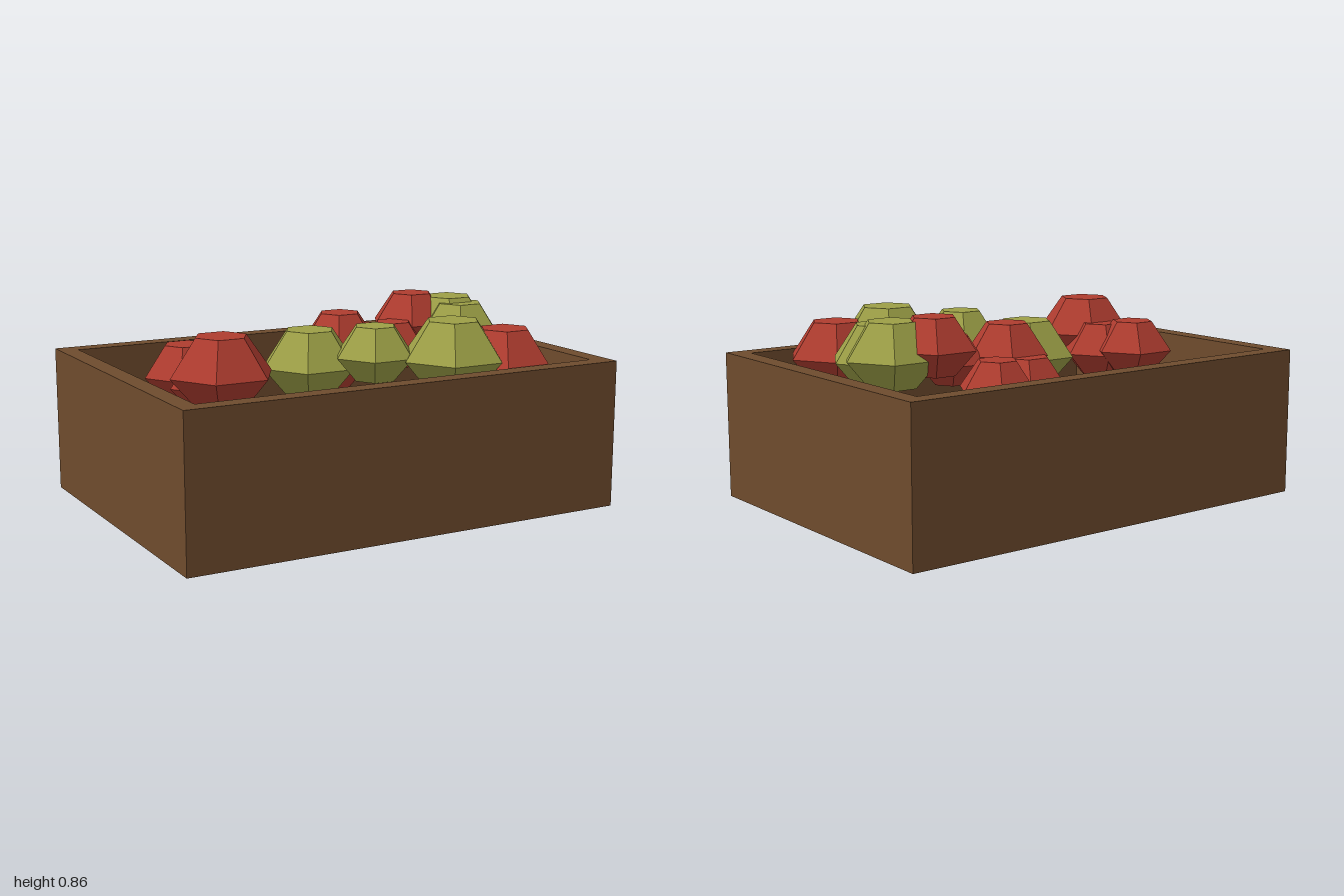
import * as THREE from 'three';

const wood = new THREE.MeshStandardMaterial({ color: 0x6e4b2d });
wood.name = 'brown wood';
const red = new THREE.MeshStandardMaterial({ color: 0xae3c2f });
red.name = 'red fruit skin';
const green = new THREE.MeshStandardMaterial({ color: 0x9c9f46 });
green.name = 'green fruit skin';

const W = 2, H = 0.64, D = 1.436, WALL = 0.08, FLOOR = 0.07;

// Six-sided fruit of radius 1: flat top, wide middle, tapering underside
function fruitGeometry() {
  const profile = [[0, -0.57], [0.5, -0.57], [1, 0], [0.5, 0.7], [0, 0.7]]
    .map(([r, y]) => new THREE.Vector2(r, y));
  const geo = new THREE.LatheGeometry(profile, 6, Math.PI / 6).toNonIndexed();
  geo.computeVertexNormals();
  return geo;
}

// Rectangle corners centred on the origin
function rect(w, d) {
  return [[-1, -1], [1, -1], [1, 1], [-1, 1]]
    .map(([x, y]) => new THREE.Vector2(x * w / 2, y * d / 2));
}

function createCrate() {
  const crate = new THREE.Group();
  crate.name = 'crate';

  // Four walls as one open frame
  const plan = new THREE.Shape(rect(W, D));
  plan.holes.push(new THREE.Path(rect(W - 2 * WALL, D - 2 * WALL)));
  const walls = new THREE.Mesh(
    new THREE.ExtrudeGeometry(plan, { depth: H, bevelEnabled: false }).rotateX(-Math.PI / 2), wood);
  walls.name = 'crateWalls';

  const floor = new THREE.Mesh(new THREE.BoxGeometry(W - 2 * WALL, FLOOR, D - 2 * WALL), wood);
  floor.position.y = FLOOR / 2;
  floor.name = 'crateFloor';

  crate.add(walls, floor);
  return crate;
}

// Each fruit: x, z, radius, height of its flat top
const redFruit = [
  [-0.645, -0.08, 0.185, 0.73],
  [-0.59, 0.07, 0.19, 0.71],
  [-0.625, 0.235, 0.225, 0.81],
  [0.15, -0.3, 0.2, 0.67],
  [0.37, -0.4, 0.165, 0.69],
  [0.135, -0.155, 0.185, 0.795],
  [0.36, -0.065, 0.16, 0.75],
  [0.525, -0.18, 0.188, 0.855],
  [0.605, 0.45, 0.217, 0.775],
];
const greenFruit = [
  [-0.115, 0.03, 0.22, 0.765],
  [0.075, 0.26, 0.182, 0.8],
  [0.36, 0.42, 0.232, 0.825],
  [0.675, -0.1, 0.213, 0.84],
  [0.68, -0.015, 0.208, 0.82],
];

export function createModel() {
  const model = new THREE.Group();
  model.name = 'fruitCrate';
  model.add(createCrate());

  const geo = fruitGeometry();
  const addFruit = (list, material, name) => list.forEach(([x, z, r, top], i) => {
    const fruit = new THREE.Mesh(geo, material);
    fruit.scale.setScalar(r);
    fruit.position.set(x, top - 0.7 * r, z);
    fruit.name = name + (i + 1);
    model.add(fruit);
  });
  red.flatShading = green.flatShading = true;
  addFruit(redFruit, red, 'redFruit');
  addFruit(greenFruit, green, 'greenFruit');
  return model;
}
